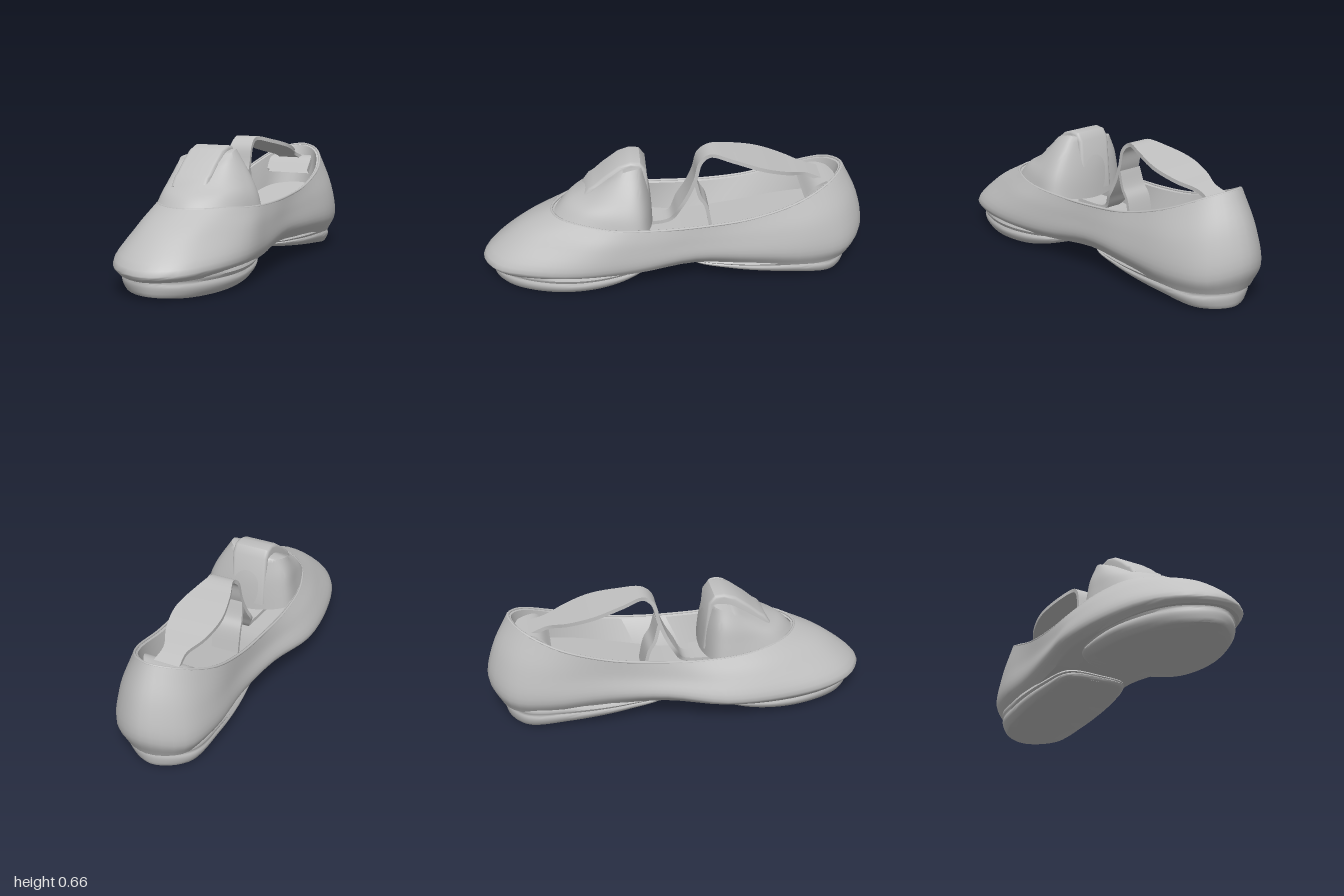
import * as THREE from 'three';
import { toCreasedNormals } from 'three/addons/utils/BufferGeometryUtils.js';

const N = 72;
const V = (x, y, z) => new THREE.Vector3(x, y, z);

// Closed outline from stations [z, xLow, xHigh, y], front to back; tilt raises the +x side
function outline(stations, tilt = 0) {
  const last = stations.length - 1;
  const mid = stations.slice(1, last);
  const at = (x, y, z) => V(x, y + tilt * x, z);
  const pts = [
    at(stations[0][1], stations[0][3], stations[0][0]),
    ...mid.map(([z, , xh, y]) => at(xh, y, z)),
    at(stations[last][1], stations[last][3], stations[last][0]),
    ...mid.slice().reverse().map(([z, xl, , y]) => at(xl, y, z)),
  ];
  const curve = new THREE.CatmullRomCurve3(pts, true);
  return Array.from({ length: N }, (_, i) => curve.getPoint(i / N));
}

// Outline scaled about its centre, with height changed by a rule
function resize(loop, sx, sz, height) {
  const c = new THREE.Box3().setFromPoints(loop).getCenter(V());
  return loop.map(p => V(c.x + (p.x - c.x) * sx, height(p), c.z + (p.z - c.z) * sz));
}

// Centre line of an outline, used to close it
const spine = loop => loop.map((p, i) => p.clone().lerp(loop[(N - i) % N], 0.5));

// Smooth extra outlines between the given ones
function refine(loops, steps) {
  const columns = loops[0].map((_, i) => new THREE.CatmullRomCurve3(loops.map(l => l[i])));
  const rows = (loops.length - 1) * steps;
  return Array.from({ length: rows + 1 }, (_, k) => columns.map(c => c.getPoint(k / rows)));
}

// Skin over a stack of closed rings
function loft(rings, crease = 0.8) {
  const n = rings[0].length, index = [];
  for (let k = 0; k < rings.length - 1; k++) {
    for (let i = 0; i < n; i++) {
      const a = k * n + i, b = k * n + (i + 1) % n;
      index.push(a, b, b + n, a, b + n, a + n);
    }
  }
  const g = new THREE.BufferGeometry().setFromPoints(rings.flat());
  g.setIndex(index);
  return toCreasedNormals(g, crease);
}

// Flat band along a path of [z, y, xLow, xHigh]
function band(path, thickness) {
  const low = new THREE.CatmullRomCurve3(path.map(([z, y, xl]) => V(xl, y, z)));
  const high = new THREE.CatmullRomCurve3(path.map(([z, y, , xh]) => V(xh, y, z)));
  const steps = path.length * 5;
  const rings = [];
  for (let k = 0; k <= steps; k++) {
    const t = k / steps, l = low.getPoint(t), h = high.getPoint(t);
    const tangent = low.getTangent(t).setX(0).normalize();
    const n = V(1, 0, 0).cross(tangent).multiplyScalar(thickness / 2);
    rings.push([l.clone().add(n), h.clone().add(n), h.clone().sub(n), l.clone().sub(n)]);
  }
  return loft(rings);
}

export function createModel() {
  const model = new THREE.Group();
  const grey = new THREE.MeshStandardMaterial({ color: 0xc0c0c0, side: THREE.DoubleSide });
  grey.name = 'grey';
  const add = (name, geometry) => {
    const mesh = new THREE.Mesh(geometry, grey);
    mesh.name = name;
    model.add(mesh);
  };

  // Upper: bottom edge, widest line, mid wall and collar
  const bottom = outline([
    [.98, .05, .05, .095], [.91, -.11, .19, .098], [.75, -.22, .265, .1], [.5, -.28, .3, .1], [.2, -.285, .275, .11],
    [-.1, -.22, .23, .13], [-.4, -.19, .25, .12], [-.7, -.18, .25, .1], [-.88, -.13, .18, .1], [-.95, .03, .03, .1]]);
  const widest = outline([
    [1, .05, .05, .125], [.93, -.12, .2, .13], [.77, -.24, .285, .14], [.5, -.315, .33, .145], [.2, -.333, .3, .155],
    [-.1, -.27, .275, .19], [-.4, -.23, .29, .19], [-.7, -.225, .285, .18], [-.9, -.16, .21, .18], [-1, .03, .03, .22]]);
  const wall = outline([
    [.84, .05, .05, .275], [.785, -.085, .165, .28], [.65, -.19, .245, .28], [.42, -.275, .31, .275], [.17, -.29, .295, .27],
    [-.1, -.245, .275, .28], [-.4, -.215, .28, .3], [-.7, -.21, .27, .33], [-.88, -.14, .19, .36], [-.965, .03, .03, .4]]);
  const collar = outline([
    [.64, .05, .05, .385], [.6, -.06, .15, .385], [.5, -.16, .225, .385], [.33, -.225, .275, .37], [.1, -.24, .275, .362],
    [-.15, -.225, .265, .37], [-.4, -.21, .255, .4], [-.65, -.185, .225, .475], [-.82, -.1, .14, .55], [-.88, .03, .03, .575]]);
  const lining = resize(collar, .91, .97, p => p.y - .01);
  const floor = resize(bottom, .8, .86, p => .2 + Math.max(0, -p.z) * .16);
  add('upper', loft([spine(bottom), ...refine([bottom, widest, wall, collar], 5)]));
  add('lining', loft([collar, lining, floor, spine(floor)]));
  add('collarBinding', new THREE.TubeGeometry(
    new THREE.CatmullRomCurve3(resize(collar, .98, .99, p => p.y - .003), true), 100, .007, 6, true));

  // Outsoles: forefoot and heel, with rounded lower edges and a slight welt
  const soles = {
    frontSole: { tilt: -.03, stations: [[.94, .05, .05, .022], [.85, -.11, .18, .016], [.6, -.22, .27, .018],
      [.35, -.23, .26, .035], [.17, -.18, .19, .075], [.06, -.02, -.02, .098]] },
    heelSole: { tilt: .03, stations: [[-.08, .03, .03, .095], [-.1, -.12, .16, .09], [-.3, -.165, .215, .065],
      [-.6, -.17, .22, .032], [-.82, -.13, .18, .008], [-.91, .03, .03, .003]] },
  };
  for (const [name, { tilt, stations }] of Object.entries(soles)) {
    const base = outline(stations, tilt);
    const rise = f => p => p.y + (.13 - p.y) * f;
    add(name, loft([
      spine(base), base,
      ...refine([
        resize(base, 1.04, 1.012, rise(.05)),
        resize(base, 1.13, 1.03, rise(.3)),
        resize(base, 1.15, 1.035, rise(.5)),
        resize(base, 1.13, 1.028, rise(.62)),
        resize(base, 1.17, 1.04, rise(.78)),
        resize(base, 1.13, 1.03, rise(1)),
      ], 2),
    ], .7));
  }

  // Stuffing in the toe: low fold, main bulk and top
  const stuffing = [
    outline([[.63, .05, .05, .355], [.53, -.15, .2, .36], [.33, -.215, .265, .34], [.17, -.205, .255, .33], [.11, .02, .02, .3]]),
    outline([[.565, .04, .04, .425], [.48, -.14, .18, .43], [.32, -.2, .245, .42], [.175, -.195, .235, .42], [.115, .01, .01, .4]]),
    outline([[.49, .03, .03, .468], [.42, -.135, .16, .475], [.29, -.19, .21, .495], [.18, -.18, .195, .51], [.125, 0, 0, .49]]),
    outline([[.36, 0, 0, .545], [.32, -.12, .11, .57], [.25, -.165, .135, .61], [.18, -.14, .115, .62], [.15, 0, 0, .6]], .14),
  ];
  add('toeStuffing', loft([...refine(stuffing, 5), spine(stuffing[3])], 1));

  // Folded flap lying down the middle of the stuffing
  const profile = new THREE.Shape([
    [.47, .465], [.435, .515], [.41, .53], [.36, .575], [.28, .635], [.22, .655],
    [.17, .65], [.14, .61], [.115, .34], [.4, .34],
  ].map(([z, y]) => new THREE.Vector2(-z, y)));
  const flap = new THREE.ExtrudeGeometry(profile, { depth: .155, bevelSize: .015, bevelThickness: .02, bevelOffset: -.015, bevelSegments: 3 });
  flap.rotateY(Math.PI / 2).translate(-.08, 0, 0);
  add('stuffingFlap', toCreasedNormals(flap, .8));

  // Shoe stretcher: bar in the shoe, rising leg, broad strap and heel rest
  add('stretcherStrap', band([
    [.2, .27, -.08, .06], [.02, .27, -.06, .03], [-.035, .35, -.1, .05], [-.08, .43, -.09, .05],
    [-.115, .52, -.08, .05], [-.14, .615, -.075, .05], [-.19, .655, -.07, .05], [-.3, .637, -.105, .085],
    [-.45, .6, -.13, .12], [-.58, .562, -.105, .1], [-.68, .533, -.06, .06], [-.76, .505, -.065, .07]], .02));
  add('stretcherBrace', band([
    [-.2, .22, -.1, .05], [-.17, .36, -.1, .05], [-.14, .41, -.095, .05], [-.115, .5, -.085, .05]], .018));
  add('heelRest', band([
    [-.68, .43, -.11, .14], [-.73, .49, -.11, .14], [-.79, .5, -.08, .11], [-.84, .49, -.04, .08]], .03));
  return model;
}
